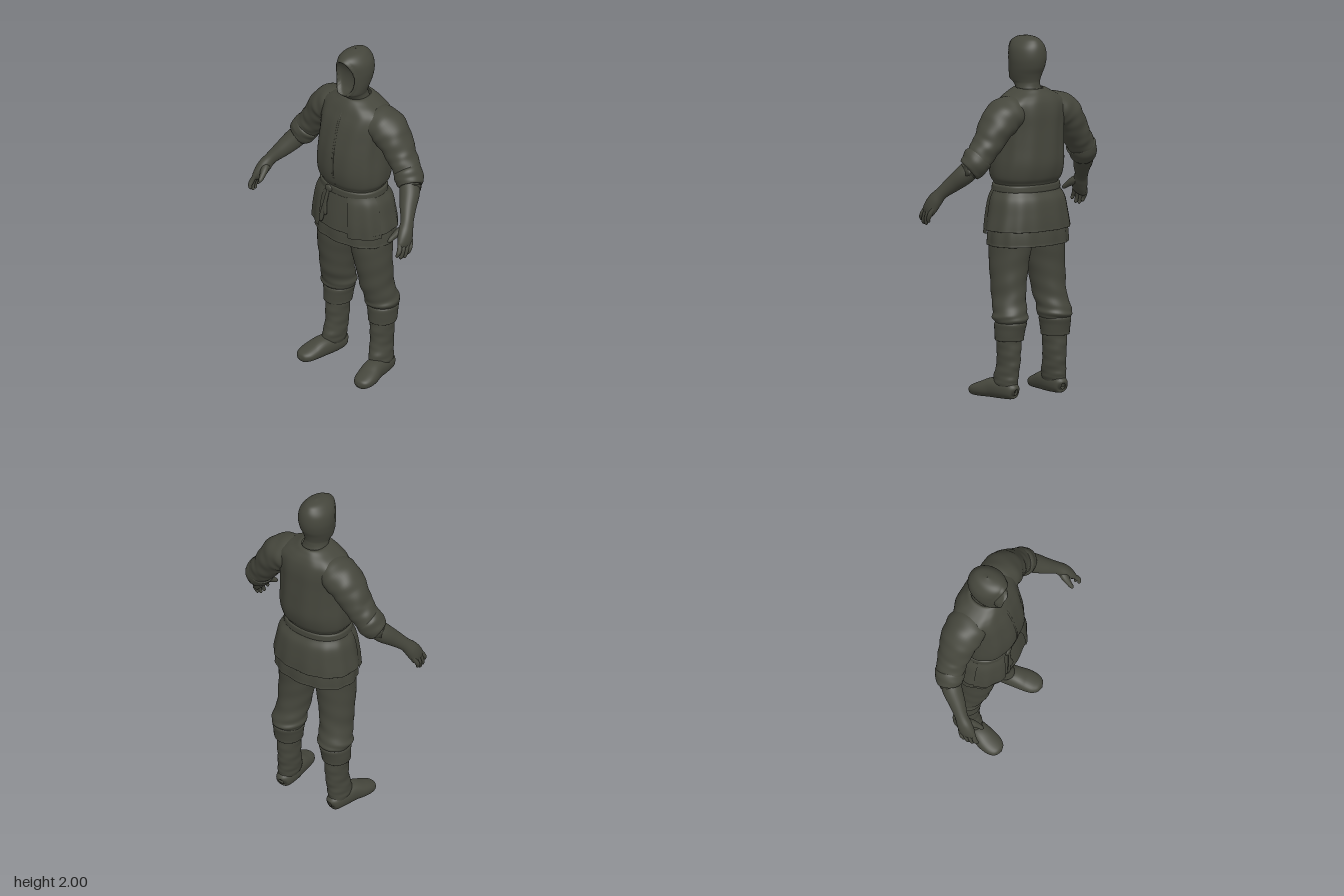
import * as THREE from 'three';

const cloth = new THREE.MeshStandardMaterial({ color: 0x45463c, side: THREE.DoubleSide });
cloth.name = 'dark olive';

// Lofts smooth elliptical rings through sections [x, y, z, radiusA, radiusB].
// flat: rings stay horizontal; ref: axis that radiusB leans towards; fold: radius multiplier.
function loft(name, sections, o = {}) {
  const { rings = 32, sides = 32, flat = false, ref = [0, 0, 1], power = 1,
    fold = () => 1, arc = null, shape = null } = o;
  const path = new THREE.CatmullRomCurve3(sections.map(s => new THREE.Vector3(s[0], s[1], s[2])), false, 'catmullrom');
  const size = new THREE.CatmullRomCurve3(sections.map(s => new THREE.Vector3(s[3], s[4], 0)), false, 'catmullrom');
  const R = new THREE.Vector3(...ref), pos = [], index = [];
  const cols = arc ? sides + 1 : sides;
  const bend = v => Math.sign(v) * Math.abs(v) ** power;
  for (let i = 0; i <= rings; i++) {
    const u = i / rings, c = path.getPoint(u), r = size.getPoint(u);
    const t = flat ? new THREE.Vector3(0, 1, 0) : path.getTangent(u);
    const a = t.clone().cross(R).normalize(), b = a.clone().cross(t);
    for (let j = 0; j < cols; j++) {
      const th = arc ? arc[0] + (arc[1] - arc[0]) * j / sides : 2 * Math.PI * j / sides;
      const f = fold(u, th);
      const p = c.clone().addScaledVector(a, Math.max(r.x, 0.001) * f * bend(Math.cos(th)))
        .addScaledVector(b, Math.max(r.y, 0.001) * f * bend(Math.sin(th)));
      if (shape) shape(p);
      pos.push(p.x, p.y, p.z);
    }
  }
  for (let i = 0; i < rings; i++) for (let j = 0; j < sides; j++) {
    const k = arc ? j + 1 : (j + 1) % sides;
    const p = i * cols + j, q = i * cols + k;
    index.push(p, p + cols, q, q, p + cols, q + cols);
  }
  const g = new THREE.BufferGeometry();
  g.setAttribute('position', new THREE.Float32BufferAttribute(pos, 3));
  g.setIndex(index);
  g.computeVertexNormals();
  const mesh = new THREE.Mesh(g, cloth);
  mesh.name = name;
  return mesh;
}

// Sections on the centre line: [y, z, radiusX, radiusZ]
const centred = list => list.map(([y, z, a, b]) => [0, y, z, a, b]);
const mirror = (list, s) => list.map(([x, ...rest]) => [x * s, ...rest]);
const creases = (amp, n, k) => (u, th) =>
  1 + amp * (Math.sin(k * u + n * th) + 0.6 * Math.sin(1.7 * k * u - 2 * th + 1));

function createModel() {
  const model = new THREE.Group();
  model.name = 'hoodedFigure';
  const add = (...args) => model.add(loft(...args));

  // Hood with a hollow face opening
  add('hood', centred([
    [1.66, -0.06, 0.085, 0.085], [1.705, -0.052, 0.07, 0.07], [1.735, -0.036, 0.067, 0.08],
    [1.755, -0.024, 0.074, 0.093], [1.79, -0.031, 0.084, 0.097],
    [1.83, -0.041, 0.092, 0.105], [1.88, -0.046, 0.097, 0.11], [1.93, -0.042, 0.091, 0.11],
    [1.965, -0.036, 0.071, 0.1], [1.988, -0.04, 0.043, 0.068], [2.0, -0.045, 0.001, 0.001],
  ]), {
    flat: true, rings: 80, sides: 96,
    shape: p => {
      if (p.z < -0.03) return;
      const d = (p.x / 0.062) ** 2 + ((p.y - 1.85) / 0.103) ** 2;
      if (d < 1) p.z -= 0.05 * Math.sqrt(1 - d);
      else if (d < 1.5) p.z += 0.008 * Math.sin((d - 1) * 2 * Math.PI);
    },
  });

  // Jacket body
  add('jacket', centred([
    [1.15, -0.03, 0.18, 0.14], [1.19, -0.03, 0.187, 0.146], [1.225, -0.032, 0.206, 0.165],
    [1.3, -0.035, 0.211, 0.18], [1.4, -0.037, 0.206, 0.178], [1.5, -0.045, 0.205, 0.167],
    [1.58, -0.055, 0.21, 0.155], [1.635, -0.062, 0.205, 0.138], [1.67, -0.062, 0.165, 0.122],
    [1.695, -0.06, 0.115, 0.105], [1.712, -0.06, 0.082, 0.09], [1.712, -0.06, 0.068, 0.075],
  ]), {
    flat: true, rings: 60, sides: 80, power: 0.88,
    fold: (u, th) => 1 + 0.014 * Math.sin(Math.PI * Math.min(1, 1.1 * u)) * Math.sin(11 * th + 5 * u),
  });
  add('frontSeam', centred([
    [1.68, 0.05, 0.005, 0.004], [1.635, 0.074, 0.006, 0.004], [1.58, 0.1, 0.006, 0.004],
    [1.5, 0.121, 0.006, 0.004], [1.4, 0.141, 0.006, 0.004], [1.3, 0.145, 0.006, 0.004], [1.21, 0.124, 0.005, 0.004],
  ]), { sides: 10 });

  // Jacket skirt, its front flaps and the lower tunic hem
  const skirt = [
    [0.955, -0.042, 0.21, 0.15], [0.935, -0.042, 0.25, 0.184], [0.95, -0.042, 0.252, 0.186],
    [1.02, -0.042, 0.238, 0.18], [1.1, -0.04, 0.222, 0.168], [1.15, -0.03, 0.198, 0.15], [1.19, -0.03, 0.185, 0.142],
  ];
  const skirtFold = (u, th) => 1 + 0.018 * (1 - u) * Math.sin(13 * th);
  add('jacketSkirt', centred(skirt), { flat: true, rings: 36, sides: 96, power: 0.88, fold: skirtFold });
  add('tunicHem', centred([
    [0.87, -0.045, 0.19, 0.13], [0.85, -0.045, 0.238, 0.17], [0.865, -0.045, 0.24, 0.172],
    [0.92, -0.045, 0.236, 0.17], [1.0, -0.045, 0.22, 0.16],
  ]), { flat: true, sides: 96, power: 0.88, fold: (u, th) => 1 + 0.018 * Math.sin(12 * th + 2) });
  const flap = centred([
    [0.912, -0.04, 0.255, 0.188], [1.0, -0.04, 0.246, 0.187], [1.1, -0.038, 0.228, 0.174], [1.155, -0.03, 0.2, 0.152],
  ]);
  for (const arc of [[0.08, 0.38], [0.62, 0.92]])
    add('skirtFlap', flap, { flat: true, power: 0.88, sides: 24, arc: arc.map(v => v * Math.PI), fold: skirtFold });

  // Belt, knot and hanging ends
  add('belt', centred([
    [1.142, -0.03, 0.185, 0.14], [1.148, -0.03, 0.198, 0.152], [1.165, -0.03, 0.199, 0.153],
    [1.182, -0.03, 0.196, 0.151], [1.188, -0.03, 0.183, 0.14],
  ]), { flat: true, sides: 64, power: 0.88 });
  const knot = new THREE.Mesh(new THREE.SphereGeometry(0.022, 20, 14), cloth);
  knot.name = 'beltKnot';
  knot.scale.set(1.2, 0.9, 0.5);
  knot.position.set(-0.05, 1.163, 0.12);
  model.add(knot);
  for (const [x, y] of [[-0.085, 0.95], [-0.055, 1.0]])
    add('beltEnd', [[-0.05, 1.16, 0.122, 0.009, 0.005], [-0.062, 1.08, 0.134, 0.013, 0.005],
      [x, y + 0.02, 0.144, 0.015, 0.005], [x, y, 0.144, 0.002, 0.002]], { sides: 12 });

  for (const s of [1, -1]) {
    const side = s > 0 ? 'left' : 'right';
    const part = (name, list, o) => add(side + name, mirror(list, s), o);

    // Sleeve with rolled end
    part('Sleeve', [
      [0.07, 1.61, -0.065, 0.06, 0.09], [0.15, 1.59, -0.07, 0.092, 0.112], [0.215, 1.558, -0.075, 0.1, 0.114],
      [0.265, 1.505, -0.076, 0.091, 0.103], [0.312, 1.435, -0.073, 0.08, 0.09],
      [0.35, 1.385, -0.067, 0.076, 0.082], [0.385, 1.335, -0.058, 0.073, 0.076],
    ], { rings: 48, sides: 48, fold: creases(0.018, 3, 26) });
    part('SleeveRoll', [
      [0.358, 1.372, -0.064, 0.066, 0.066], [0.37, 1.357, -0.06, 0.08, 0.082], [0.39, 1.325, -0.052, 0.079, 0.08],
      [0.406, 1.298, -0.042, 0.071, 0.073], [0.412, 1.29, -0.038, 0.058, 0.058], [0.402, 1.305, -0.045, 0.045, 0.045],
    ], { rings: 36, sides: 40, fold: creases(0.02, 2, 14) });

    // Forearm and palm
    part('Forearm', [
      [0.38, 1.33, -0.06, 0.05, 0.055], [0.427, 1.268, -0.015, 0.055, 0.056], [0.465, 1.213, 0.04, 0.046, 0.046],
      [0.504, 1.16, 0.09, 0.034, 0.037], [0.524, 1.117, 0.123, 0.036, 0.045],
      [0.538, 1.075, 0.147, 0.03, 0.048], [0.547, 1.045, 0.16, 0.016, 0.042], [0.549, 1.036, 0.163, 0.001, 0.001],
    ], { rings: 48 });
    // Fingers and thumb
    for (let k = 0; k < 4; k++) {
      const z = 0.193 - 0.025 * k, x = 0.004 * k - 0.008, low = [1.0, 0.982, 0.98, 0.995][k];
      part('Finger', [
        [0.545 + x, 1.075, z - 0.008, 0.011, 0.013], [0.556 + x, 1.04, z + 0.008, 0.014, 0.013],
        [0.557 + x, low + 0.02, z + 0.02, 0.011, 0.011], [0.55 + x, low + 0.004, z + 0.023, 0.008, 0.008],
        [0.547 + x, low, z + 0.024, 0.001, 0.001],
      ], { rings: 16, sides: 12 });
    }
    part('Thumb', [
      [0.515, 1.14, 0.108, 0.02, 0.024], [0.498, 1.115, 0.15, 0.023, 0.022], [0.485, 1.093, 0.183, 0.016, 0.016],
      [0.479, 1.074, 0.208, 0.011, 0.011], [0.478, 1.066, 0.217, 0.001, 0.001],
    ], { rings: 16, sides: 14 });

    // Trouser leg gathered at the knee
    part('TrouserLeg', [
      [0.157, 0.42, -0.09, 0.075, 0.08], [0.16, 0.45, -0.085, 0.097, 0.1], [0.157, 0.49, -0.077, 0.093, 0.097],
      [0.147, 0.56, -0.056, 0.091, 0.1], [0.14, 0.65, -0.046, 0.097, 0.105], [0.13, 0.75, -0.038, 0.106, 0.116],
      [0.12, 0.85, -0.038, 0.114, 0.126], [0.115, 0.95, -0.04, 0.112, 0.13],
    ], {
      flat: true, rings: 64, sides: 48,
      fold: (u, th) => 1 + 0.026 * (1 - u) * (Math.sin(38 * u + 2 * s * th) + 0.5 * Math.sin(21 * u - 3 * th)),
    });

    // Boot: cuff, shaft and foot
    part('BootCuff', [
      [0.163, 0.345, -0.08, 0.06, 0.07], [0.165, 0.33, -0.081, 0.077, 0.08], [0.165, 0.35, -0.082, 0.08, 0.083],
      [0.163, 0.39, -0.085, 0.084, 0.087], [0.16, 0.425, -0.088, 0.088, 0.09], [0.16, 0.435, -0.088, 0.07, 0.075],
    ], { flat: true, fold: creases(0.008, 3, 8) });
    part('BootShaft', [
      [0.177, 0.04, -0.07, 0.042, 0.062], [0.175, 0.08, -0.062, 0.054, 0.079], [0.171, 0.13, -0.063, 0.058, 0.08],
      [0.166, 0.2, -0.075, 0.058, 0.074], [0.165, 0.28, -0.078, 0.063, 0.074], [0.163, 0.37, -0.08, 0.066, 0.074],
    ], { flat: true, rings: 48, fold: creases(0.016, 2, 30) });
    part('Foot', [
      [0.17, 0.045, -0.144, 0.012, 0.016], [0.172, 0.05, -0.128, 0.041, 0.043], [0.178, 0.056, -0.06, 0.055, 0.053],
      [0.19, 0.058, 0.02, 0.058, 0.055], [0.205, 0.047, 0.08, 0.062, 0.044], [0.213, 0.038, 0.13, 0.056, 0.034],
      [0.216, 0.032, 0.162, 0.035, 0.024], [0.217, 0.03, 0.175, 0.001, 0.001],
    ], { ref: [0, 1, 0], rings: 40, power: 0.88, shape: p => { p.y = Math.max(p.y, 0); } });
  }
  return model;
}

export { createModel };
